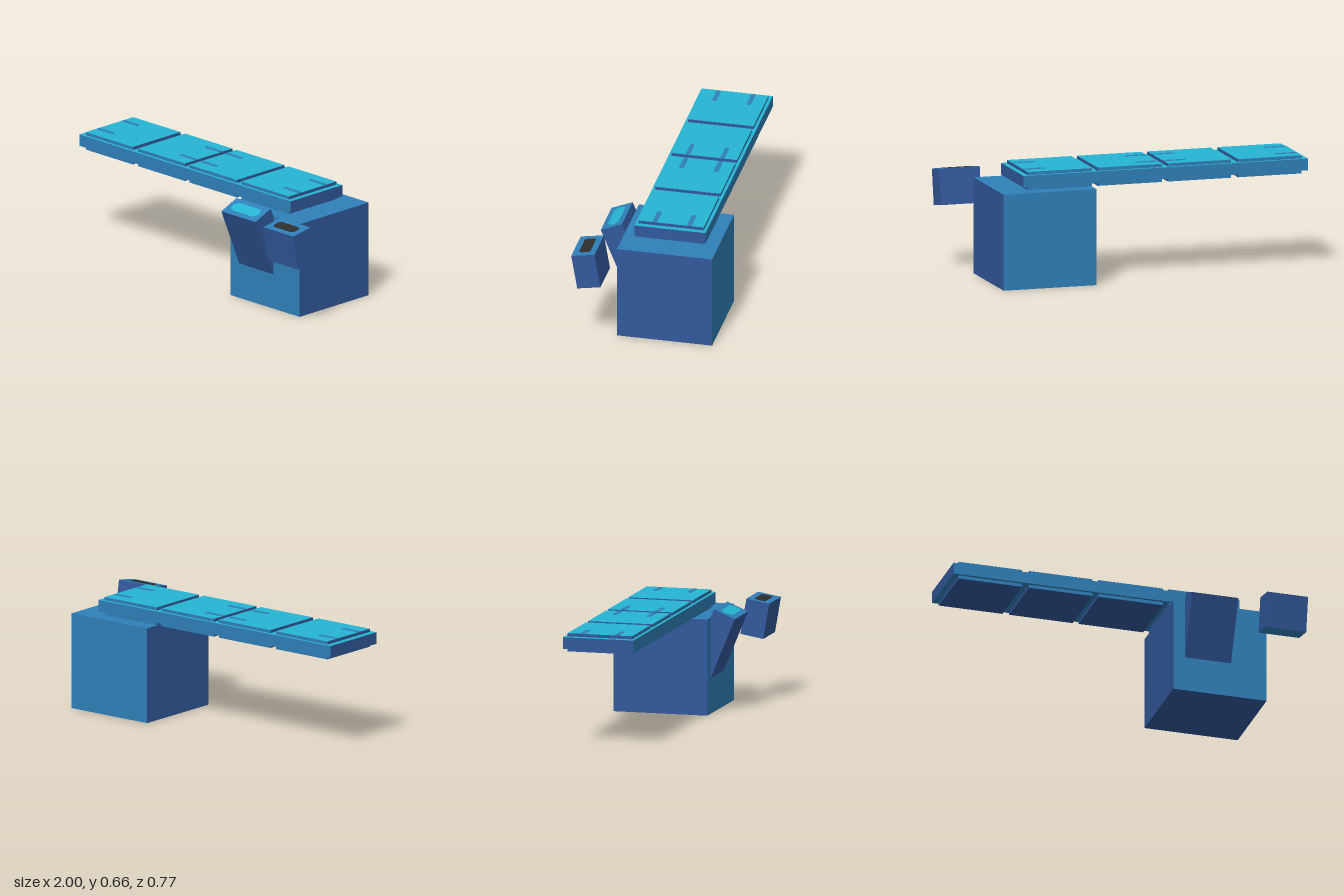
import * as THREE from 'three';

const mat = (name, color) => {
  const m = new THREE.MeshStandardMaterial({ color });
  m.name = name;
  return m;
};

export function createModel() {
  const blue = mat('blue', 0x2f7fb8);
  const navy = mat('navy', 0x31589a);
  const teal = mat('teal', 0x25b5d3);
  const black = mat('charcoal', 0x2e2e2e);
  const model = new THREE.Group();

  // Box with separate colours for ends, top, bottom and front/back
  function block(parent, name, size, pos, ends, top, bottom, faces) {
    const mesh = new THREE.Mesh(new THREE.BoxGeometry(...size), [ends, ends, top, bottom, faces, faces]);
    mesh.position.set(...pos);
    mesh.name = name;
    parent.add(mesh);
    return mesh;
  }

  // Thin horizontal plate with clipped corners
  function plate(parent, name, w, d, cut, pos, material) {
    const a = w / 2, b = d / 2;
    const shape = new THREE.Shape([
      [-a + cut, -b], [a - cut, -b], [a, -b + cut], [a, b - cut],
      [a - cut, b], [-a + cut, b], [-a, b - cut], [-a, -b + cut],
    ].map(([x, y]) => new THREE.Vector2(x, y)));
    const geo = new THREE.ExtrudeGeometry(shape, { depth: 0.002, bevelEnabled: false });
    geo.rotateX(-Math.PI / 2);
    const mesh = new THREE.Mesh(geo, material);
    mesh.position.set(...pos);
    mesh.name = name;
    parent.add(mesh);
  }

  // Pedestal
  block(model, 'pedestal', [0.55, 0.55, 0.55], [0.55, 0.275, -0.112], navy, blue, navy, blue);

  // Long table core
  block(model, 'tableCore', [1.685, 0.067, 0.412], [-0.1575, 0.6035, -0.111], navy, teal, blue, blue);

  // Four panels passing through the core, each with two marks at one end
  [[-0.965, -0.59], [-0.55, -0.175], [-0.14, 0.24], [0.275, 0.655]].forEach(([x0, x1], i) => {
    block(model, `tablePanel${i + 1}`, [x1 - x0, 0.104, 0.378], [(x0 + x1) / 2, 0.603, -0.111],
      navy, teal, navy, blue);
    const x = i % 2 === 0 ? x0 + 0.067 : x1 - 0.067;
    for (const z of [-0.215, -0.015]) plate(model, 'panelMark', 0.13, 0.026, 0.01, [x, 0.6545, z], blue);
  });

  // Console leaning out of the pedestal front
  const tilt = Math.PI / 8;
  const consoleUnit = new THREE.Group();
  consoleUnit.name = 'console';
  consoleUnit.position.set(0.479, 0.572, 0.244);
  consoleUnit.rotation.x = tilt;
  block(consoleUnit, 'consoleBody', [0.272, 0.44, 0.132], [0, -0.22, 0], navy, blue, navy, navy);
  plate(consoleUnit, 'consoleScreen', 0.212, 0.07, 0.022, [0, 0, 0], teal);
  model.add(consoleUnit);

  // Separate tilted box with a slot in its top
  const slotUnit = new THREE.Group();
  slotUnit.name = 'slotBox';
  slotUnit.position.set(0.88, 0.4805, 0.3025);
  slotUnit.rotation.x = 0.171;
  block(slotUnit, 'slotBoxBody', [0.24, 0.206, 0.136], [0, 0, 0], navy, blue, blue, navy);
  plate(slotUnit, 'slot', 0.165, 0.066, 0.014, [-0.002, 0.103, 0], black);
  model.add(slotUnit);

  return model;
}
